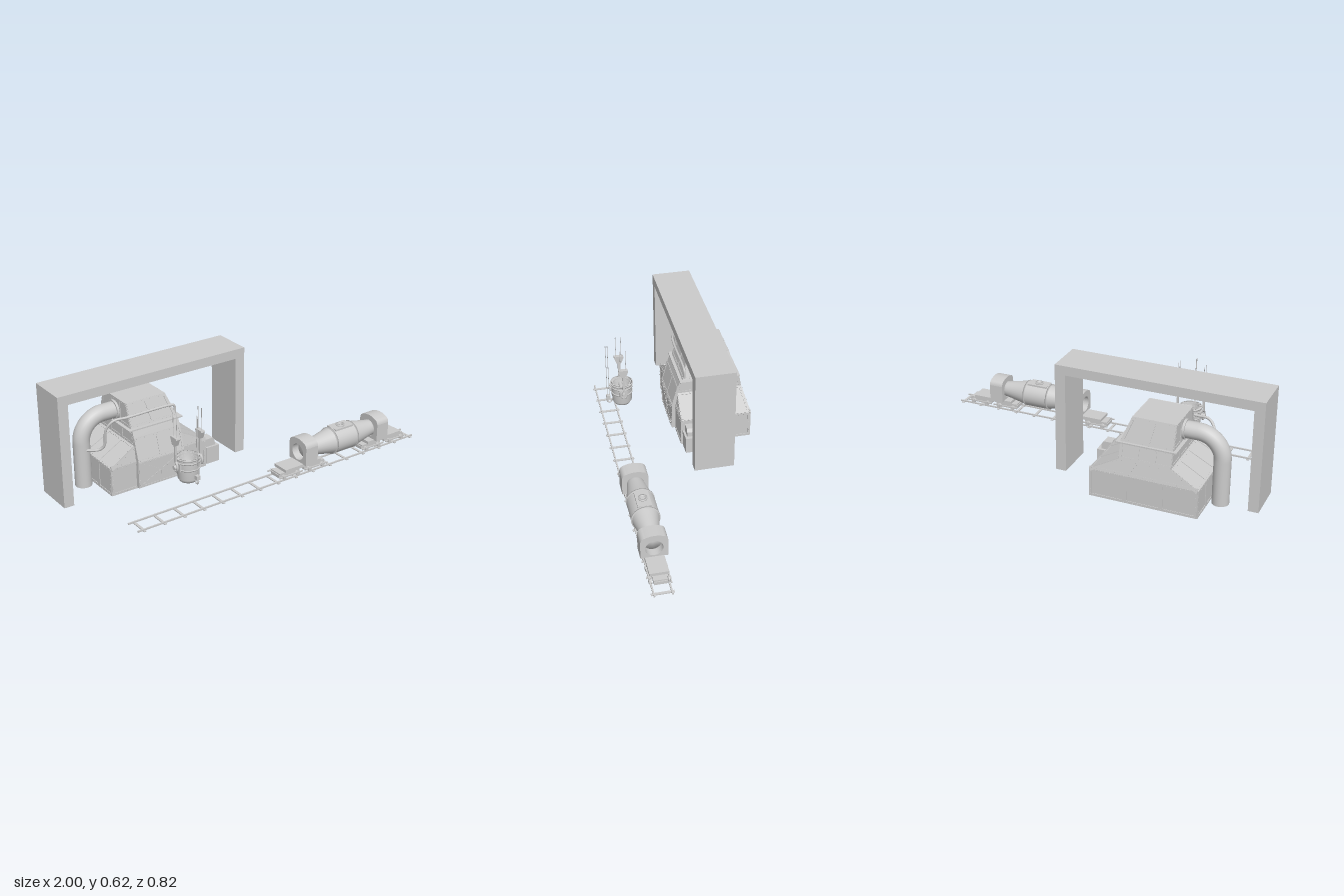
import * as THREE from 'three';

const V = (x, y, z) => new THREE.Vector3(x, y, z);
const mat = new THREE.MeshStandardMaterial({ color: 0xcccccc });
const flat = new THREE.MeshStandardMaterial({ color: 0xcccccc, flatShading: true });
const solid = new THREE.MeshStandardMaterial({ color: 0xcccccc, side: THREE.DoubleSide });

function add(parent, name, geo, pos = [0, 0, 0], material = mat) {
  const m = new THREE.Mesh(geo, material);
  m.name = name;
  m.position.set(...pos);
  parent.add(m);
  return m;
}
function group(parent, name) {
  const g = new THREE.Group();
  g.name = name;
  parent.add(g);
  return g;
}
// box given by its min and max on each axis
function box(parent, name, x0, x1, y0, y1, z0, z1) {
  return add(parent, name, new THREE.BoxGeometry(x1 - x0, y1 - y0, z1 - z0),
    [(x0 + x1) / 2, (y0 + y1) / 2, (z0 + z1) / 2]);
}
function tube(parent, name, pts, r, seg = 24) {
  return add(parent, name, new THREE.TubeGeometry(new THREE.CatmullRomCurve3(pts, false, 'centripetal'), seg, r, 8));
}
function lathe(parent, name, pts, pos, seg = 28) {
  const g = new THREE.LatheGeometry(pts.map(p => new THREE.Vector2(...p)), seg);
  return add(parent, name, g, pos, solid);
}

// flat strip lying on a face, with its rivets
function rib(parent, a, b, n, shift, w, rivets) {
  const dir = b.clone().sub(a), len = dir.length();
  dir.normalize();
  const side = n.clone().cross(dir);
  const g = group(parent, 'rib');
  g.applyMatrix4(new THREE.Matrix4().makeBasis(dir, side, n));
  g.position.copy(a).add(b).multiplyScalar(0.5).addScaledVector(side, shift);
  add(g, 'ribStrip', new THREE.BoxGeometry(len, w, 0.006));
  if (!rivets) return;
  const count = Math.floor(len / 0.025);
  for (let i = 0; i < count; i++)
    add(g, 'rivet', new THREE.BoxGeometry(0.004, 0.004, 0.004), [len * ((i + 0.5) / count - 0.5), 0, 0.003]);
}
// frame of ribs round a four-cornered panel, with upright dividers
function frame(parent, q, cols, w = 0.014) {
  const n = q[1].clone().sub(q[0]).cross(q[3].clone().sub(q[0])).normalize();
  q.forEach((p, i) => rib(parent, p, q[(i + 1) % 4], n, w / 2, w, true));
  for (let i = 1; i < cols; i++)
    rib(parent, q[0].clone().lerp(q[1], i / cols), q[3].clone().lerp(q[2], i / cols), n, 0, w * 1.6, false);
}
// stacked rectangular sections [y, x0, x1, z0, z1]; cols = dividers for front, left, back, right
function tower(parent, name, levels, cols) {
  const g = group(parent, name), pos = [];
  const rings = levels.map(([y, x0, x1, z0, z1]) => [V(x0, y, z1), V(x1, y, z1), V(x1, y, z0), V(x0, y, z0)]);
  const quad = (a, b, c, d) => [a, b, c, a, c, d].forEach(p => pos.push(p.x, p.y, p.z));
  for (let i = 0; i < rings.length - 1; i++)
    for (let k = 0; k < 4; k++) {
      const j = (k + 1) % 4, q = [rings[i][k], rings[i][j], rings[i + 1][j], rings[i + 1][k]];
      if (q[0].distanceTo(q[3]) < 1e-4) continue;
      quad(...q);
      if (cols) frame(g, q, cols[k]);
    }
  quad(...rings[rings.length - 1]);
  quad(...rings[0].slice().reverse());
  const geo = new THREE.BufferGeometry();
  geo.setAttribute('position', new THREE.Float32BufferAttribute(pos, 3));
  geo.computeVertexNormals();
  add(g, name + 'Shell', geo, [0, 0, 0], flat);
  return g;
}

function buildGantry(root) {
  const s = new THREE.Shape([[-1, 0.01], [-0.945, 0.01], [-0.945, 0.565], [0.055, 0.565],
    [0.055, 0.01], [0.113, 0.01], [0.113, 0.617], [-1, 0.617]].map(p => new THREE.Vector2(...p)));
  add(root, 'portalFrame', new THREE.ExtrudeGeometry(s, { depth: 0.22, bevelEnabled: false }), [0, 0, -0.243]);
}

function buildFurnace(root) {
  const f = group(root, 'furnace');
  tower(f, 'furnaceBody', [
    [0, -0.733, -0.152, -0.402, -0.008], [0.155, -0.733, -0.152, -0.402, -0.008],
    [0.237, -0.583, -0.307, -0.385, -0.022], [0.32, -0.583, -0.307, -0.367, -0.045]], [2, 3, 3, 3]);
  box(f, 'platform', -0.605, -0.28, 0.316, 0.323, -0.373, -0.03);
  tower(f, 'hood', [[0.323, -0.583, -0.305, -0.358, -0.05], [0.45, -0.583, -0.352, -0.32, -0.09]], [2, 3, 2, 3]);

  // front door: upright plate that leans back above, with crossed ribs
  const s = new THREE.Shape([[0.014, 0.006], [0.014, 0.153], [-0.022, 0.28], [-0.034, 0.316], [-0.06, 0.316], [-0.06, 0.006]]
    .map(p => new THREE.Vector2(...p)));
  const door = new THREE.ExtrudeGeometry(s, { depth: 0.28, bevelEnabled: false });
  door.rotateY(-Math.PI / 2); // profile x becomes z
  add(f, 'door', door, [-0.305, 0, 0], flat);
  const n = V(0, 0, 1), z = 0.0125;
  const c = [V(-0.582, 0.01, z), V(-0.308, 0.01, z), V(-0.308, 0.15, z), V(-0.582, 0.15, z)];
  rib(f, c[0], c[2], n, 0, 0.008, true);
  rib(f, c[1], c[3], n, 0, 0.008, true);
  rib(f, V(-0.445, 0.01, z), V(-0.445, 0.15, z), n, 0, 0.008, false);
  frame(f, c, 1, 0.008);
  frame(f, [V(-0.585, 0.156, 0.013), V(-0.305, 0.156, 0.013), V(-0.305, 0.278, -0.0215), V(-0.585, 0.278, -0.0215)], 2, 0.01);

  // exhaust duct
  const duct = new THREE.CurvePath();
  const zc = -0.205, x = -0.79, y = 0.378, r = 0.13;
  duct.add(new THREE.LineCurve3(V(-0.55, y, zc), V(x + r, y, zc)));
  const k = r * 0.552;
  duct.add(new THREE.CubicBezierCurve3(V(x + r, y, zc), V(x + r - k, y, zc), V(x, y - r + k, zc), V(x, y - r, zc)));
  duct.add(new THREE.LineCurve3(V(x, y - r, zc), V(x, 0, zc)));
  add(f, 'exhaustDuct', new THREE.TubeGeometry(duct, 60, 0.045, 24), [0, 0, 0], solid);
  const flange = add(f, 'ductFlange', new THREE.CylinderGeometry(0.053, 0.053, 0.012, 24), [-0.592, y, zc]);
  flange.rotation.z = Math.PI / 2;

  // thin service pipe round the hood
  tube(f, 'servicePipe', [V(-0.31, 0.33, -0.06), V(-0.312, 0.38, -0.06), V(-0.34, 0.388, -0.06), V(-0.6, 0.388, -0.06),
    V(-0.67, 0.385, -0.07), V(-0.705, 0.34, -0.09), V(-0.71, 0.24, -0.11), V(-0.73, 0.215, -0.13), V(-0.79, 0.212, -0.17)], 0.007, 64);

  // control cabinet beside the furnace
  box(f, 'cabinet', -0.142, -0.06, 0.003, 0.098, -0.1, -0.013);
  const cap = new THREE.Shape([[-0.137, 0.098], [-0.08, 0.098], [-0.08, 0.125], [-0.092, 0.143], [-0.137, 0.143]]
    .map(p => new THREE.Vector2(...p)));
  add(f, 'cabinetTop', new THREE.ExtrudeGeometry(cap, { depth: 0.06, bevelEnabled: false }), [0, 0, -0.085]);
}

function buildLadle(root) {
  const g = group(root, 'ladle');
  g.position.set(-0.45, 0, 0.272);
  lathe(g, 'ladlePot', [[0, 0.133], [0.045, 0.133], [0.055, 0.15], [0.06, 0.265], [0.053, 0.265], [0.048, 0.16], [0, 0.155]]);
  for (const [y, r] of [[0.262, 0.064], [0.243, 0.063], [0.206, 0.062]])
    lathe(g, 'ladleBand', [[0.05, y - 0.003], [r, y - 0.003], [r, y + 0.003], [0.05, y + 0.003]]);
  const pin = add(g, 'trunnion', new THREE.CylinderGeometry(0.011, 0.011, 0.172, 16), [0, 0.222, 0]);
  pin.rotation.z = Math.PI / 2;
  const block = new THREE.Shape([[-0.013, 0.346], [0.013, 0.346], [0.027, 0.382], [0.025, 0.39], [-0.025, 0.39], [-0.027, 0.382]]
    .map(p => new THREE.Vector2(...p)));
  for (const s of [-1, 1]) {
    const x = s * 0.074;
    box(g, 'lug', x * 0.78 - 0.006, x * 0.78 + 0.006, 0.2, 0.243, -0.022, 0.022);
    const b = new THREE.ExtrudeGeometry(block, { depth: 0.022, bevelEnabled: false });
    b.translate(0, 0, -0.011).rotateY(Math.PI / 2);
    add(g, 'hookBlock', b, [x, 0, 0]);
    box(g, 'hookShank', x - 0.005, x + 0.005, 0.25, 0.347, -0.006, 0.006);
    const arc = [[0, 0.255], [0.014, 0.238], [0.017, 0.22], [0.008, 0.204], [-0.008, 0.204], [-0.017, 0.22]];
    tube(g, 'hook', arc.map(([z, y]) => V(x, y, z)), 0.006);
    for (const z of [-0.015, 0.015])
      add(g, 'cable', new THREE.CylinderGeometry(0.0015, 0.0015, 0.125, 6), [x, 0.4495, z]);
  }
  // tilting hook on its own pair of cables
  for (const z of [0.073, 0.084])
    add(g, 'tiltCable', new THREE.CylinderGeometry(0.0015, 0.0015, 0.33, 6), [0.003, 0.347, z]);
  box(g, 'tiltBlock', -0.008, 0.014, 0.165, 0.187, 0.068, 0.09);
  tube(g, 'tiltHook', [[0.078, 0.17], [0.086, 0.155], [0.078, 0.14], [0.062, 0.142], [0.06, 0.155]].map(([z, y]) => V(0.003, y, z)), 0.004);
}

function buildTrack(root) {
  const t = group(root, 'track');
  for (const z of [0.289, 0.379]) box(t, 'rail', -0.818, 1, 0.003, 0.011, z - 0.004, z + 0.004);
  for (let i = 0; i < 16; i++) {
    const x = -0.783 + i * 0.1175;
    box(t, 'sleeper', x - 0.007, x + 0.007, 0, 0.005, 0.276, 0.392);
  }
}

function buildCar(root) {
  const c = group(root, 'torpedoCar');
  c.position.set(0.495, 0, 0.334);
  const vessel = lathe(c, 'vessel', [[0, -0.25], [0.045, -0.25], [0.045, -0.2], [0.07, -0.075], [0.073, -0.065],
    [0.073, 0.065], [0.07, 0.075], [0.045, 0.2], [0.045, 0.25], [0, 0.25]], [0, 0.121, 0], 32);
  vessel.rotation.z = Math.PI / 2;
  box(c, 'hatchPlate', -0.06, 0.06, 0.182, 0.194, -0.036, 0.036);
  lathe(c, 'fillingMouth', [[0.014, 0.19], [0.024, 0.19], [0.024, 0.201], [0.014, 0.201], [0.014, 0.19]]);
  for (const x of [-0.072, 0.072])
    lathe(c, 'vesselBand', [[0.06, -0.004], [0.075, -0.004], [0.075, 0.004], [0.06, 0.004]], [x, 0.121, 0], 32).rotation.z = Math.PI / 2;

  // rounded end housing with a bearing opening
  const s = new THREE.Shape();
  s.moveTo(-0.07, 0.06);
  s.lineTo(0.07, 0.06);
  s.lineTo(0.07, 0.158);
  s.quadraticCurveTo(0.066, 0.182, 0.045, 0.187);
  s.quadraticCurveTo(0, 0.204, -0.045, 0.187);
  s.quadraticCurveTo(-0.066, 0.182, -0.07, 0.158);
  s.closePath();
  const hole = new THREE.Path();
  hole.absarc(0, 0.117, 0.045, 0, Math.PI * 2, true);
  s.holes.push(hole);
  const housing = new THREE.ExtrudeGeometry(s, { depth: 0.08, bevelEnabled: false, curveSegments: 20 });
  housing.translate(0, 0, -0.04).rotateY(Math.PI / 2);

  for (const k of [-1, 1]) {
    const e = group(c, k < 0 ? 'rightEnd' : 'leftEnd');
    e.position.x = k * 0.25;
    add(e, 'endHousing', housing);
    const b = group(e, 'bogie');
    b.position.x = k * 0.037;
    box(b, 'deck', -0.12, 0.12, 0.047, 0.063, -0.049, 0.049);
    box(b, 'centreBeam', -0.15, 0.15, 0.036, 0.044, -0.036, 0.036);
    box(b, 'pivot', -0.04, 0.04, 0.04, 0.05, -0.03, 0.03);
    for (const t of [-0.085, 0.085]) {
      box(b, 'truckFrame', t - 0.07, t + 0.07, 0.02, 0.037, -0.034, 0.034);
      for (const z of [-0.051, 0.051]) {
        box(b, 'sideFrame', t - 0.077, t + 0.077, 0.024, 0.032, z - 0.003, z + 0.003);
        for (const a of [-0.045, 0.045]) {
          add(b, 'wheel', new THREE.CylinderGeometry(0.013, 0.013, 0.009, 16), [t + a, 0.024, z * 0.87]).rotation.x = Math.PI / 2;
          box(b, 'axleBox', t + a - 0.009, t + a + 0.009, 0.016, 0.034, z - 0.005, z + 0.005);
        }
      }
    }
  }
}

export function createModel() {
  const root = new THREE.Group();
  root.name = 'steelworks';
  buildGantry(root);
  buildFurnace(root);
  buildLadle(root);
  buildTrack(root);
  buildCar(root);
  return root;
}
